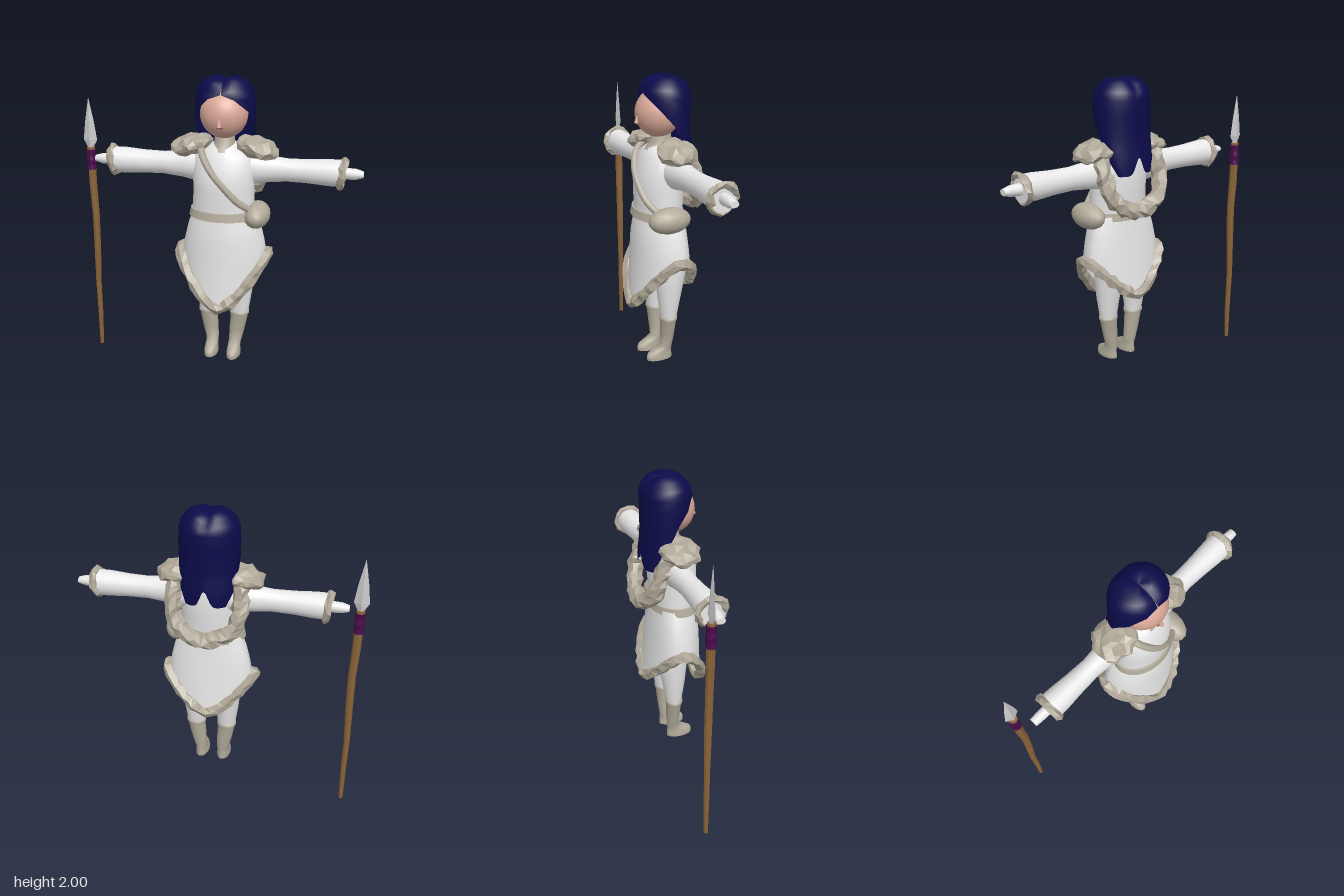
import * as THREE from 'three';

const mat = (name, color, extra = {}) => Object.assign(new THREE.MeshStandardMaterial({ color, ...extra }), { name });

// Elliptical rings listed from top to bottom: [y, halfWidth, zCentre, halfDepth, xCentre, frontOpening]
function loft(rows, seg, open = false, warp = null) {
  const pos = [], idx = [], n = open ? seg + 1 : seg;
  for (const [y, w, zc, d, cx = 0, a0 = 0] of rows) {
    for (let j = 0; j < n; j++) {
      const a = a0 + (j / seg) * 2 * (Math.PI - a0);
      const p = new THREE.Vector3(cx + w * Math.sin(a), y, zc + d * Math.cos(a));
      if (warp) warp(p, a);
      pos.push(p.x, p.y, p.z);
    }
  }
  for (let i = 0; i < rows.length - 1; i++) {
    for (let j = 0; j < seg; j++) {
      const k = (j + 1) % n, a = i * n + j, b = i * n + k;
      idx.push(a, a + n, b, b, a + n, b + n);
    }
  }
  const g = new THREE.BufferGeometry();
  g.setAttribute('position', new THREE.Float32BufferAttribute(pos, 3));
  g.setIndex(idx);
  g.computeVertexNormals();
  return g;
}

// Irregular fur surface: shift each vertex by a rule of its position
function ruffle(g, amount) {
  const p = g.attributes.position;
  for (let i = 0; i < p.count; i++) {
    const x = p.getX(i), y = p.getY(i), z = p.getZ(i);
    p.setXYZ(i,
      x + amount * Math.sin(61 * y + 47 * z + 1),
      y + amount * Math.sin(53 * x + 67 * z + 2),
      z + amount * Math.sin(59 * x + 43 * y + 3));
  }
  g.computeVertexNormals();
  return g;
}

function tube(points, segs, radius, sides, closed = false) {
  const curve = new THREE.CatmullRomCurve3(points.map(p => new THREE.Vector3(...p)), closed);
  return new THREE.TubeGeometry(curve, segs, radius, sides, closed);
}

const lerpTable = (table, y) => {
  for (let i = 0; i < table.length - 1; i++) {
    const [y0, a] = table[i], [y1, b] = table[i + 1];
    if (y >= y1) return a + (b - a) * THREE.MathUtils.clamp((y0 - y) / (y0 - y1), 0, 1);
  }
  return table[table.length - 1][1];
};

export function createModel() {
  const model = new THREE.Group();
  const body = new THREE.Group();
  body.name = 'figure';
  body.position.x = 0.055;
  model.add(body);

  const white = mat('white cloth', 0xe8e8e8, { side: THREE.DoubleSide });
  const fur = mat('fur', 0xb0a898, { flatShading: true });
  const hide = mat('hide', 0xb2ab9b);
  const skin = mat('skin', 0xdaa898);
  const navy = mat('navy hair', 0x0b0b4a, { side: THREE.DoubleSide });
  const lip = mat('lips', 0x8c5a52);
  const wood = mat('wood', 0x8a6339, { flatShading: true });
  const purple = mat('purple wrap', 0x4c0a4c, { flatShading: true });
  const steel = mat('steel', 0xcacaca, { flatShading: true });

  const add = (name, geometry, material, parent = body) => {
    const m = new THREE.Mesh(geometry, material);
    m.name = name;
    parent.add(m);
    return m;
  };

  // Torso and neck
  add('torso', loft([
    [1.6, 0.06, 0.01, 0.06], [1.565, 0.11, 0.015, 0.1], [1.52, 0.185, 0.02, 0.13], [1.4, 0.2, 0.035, 0.155],
    [1.3, 0.195, 0.04, 0.15], [1.2, 0.2, 0.04, 0.145], [1.1, 0.2, 0.045, 0.14],
  ], 28), white);
  add('neck', loft([[1.68, 0.06, 0.02, 0.06], [1.6, 0.065, 0.02, 0.068], [1.55, 0.085, 0.02, 0.11]], 18), hide);

  // Skirt with a pointed front and back and high sides
  const halfWidth = [[1.15, 0.2], [1.05, 0.238], [0.95, 0.262], [0.87, 0.275], [0.5, 0.285]];
  const frontZ = [[1.15, 0.185], [1, 0.205], [0.8, 0.212], [0.5, 0.228]];
  const backZ = [[1.15, 0.1], [1, 0.115], [0.85, 0.13], [0.6, 0.155]];
  const hemY = a => {
    const s = Math.pow(Math.abs(Math.sin(a)), 1.4);
    return Math.cos(a) > 0 ? 0.53 + 0.34 * s : 0.62 + 0.25 * s;
  };
  const skirtPoint = (a, y) => {
    const c = Math.cos(a);
    return [lerpTable(halfWidth, y) * Math.sin(a), y, c * lerpTable(c > 0 ? frontZ : backZ, y)];
  };
  const steps = Array.from({ length: 11 }, (_, i) => [i / 10, 0, 0, 0]);
  add('skirt', loft(steps, 40, false, (p, a) => p.set(...skirtPoint(a, 1.15 + (hemY(a) - 1.15) * p.y))), white);
  const hem = Array.from({ length: 32 }, (_, i) => {
    const a = (i / 32) * Math.PI * 2, [x, y, z] = skirtPoint(a, hemY(a));
    return [x * 1.06, y, z * 1.02];
  });
  add('skirtFurHem', ruffle(tube(hem, 44, 0.036, 5, true), 0.007), fur);

  // Belt, pouch and shoulder strap
  add('belt', loft([
    [1.172, 0.19, 0.045, 0.135], [1.17, 0.212, 0.045, 0.152], [1.17, 0.212, 0.045, 0.152],
    [1.12, 0.222, 0.047, 0.16], [1.12, 0.222, 0.047, 0.16], [1.118, 0.19, 0.045, 0.135],
  ], 32), hide);
  const pouch = add('pouch', new THREE.SphereGeometry(1, 14, 10), hide);
  pouch.scale.set(0.085, 0.083, 0.14);
  pouch.position.set(0.22, 1.145, 0.065);
  add('strap', tube([
    [-0.15, 1.58, 0.06], [-0.115, 1.52, 0.135], [-0.05, 1.43, 0.178], [0.03, 1.34, 0.186],
    [0.11, 1.25, 0.168], [0.2, 1.18, 0.12],
  ], 24, 0.023, 7), hide);

  // Fur garland hanging down the back
  add('backFur', ruffle(tube([
    [-0.2, 1.56, -0.04], [-0.215, 1.43, -0.1], [-0.185, 1.29, -0.145], [-0.09, 1.215, -0.175], [0, 1.195, -0.185],
    [0.09, 1.215, -0.175], [0.185, 1.29, -0.145], [0.215, 1.43, -0.1], [0.2, 1.56, -0.04],
  ], 26, 0.052, 7), 0.01), fur);

  for (const s of [-1, 1]) {
    const side = s > 0 ? 'left' : 'right';

    // Shoulder fur
    const pad = new THREE.IcosahedronGeometry(1, 2);
    pad.scale(0.135, 0.062, 0.125).rotateZ(-s * 0.25).translate(s * 0.21, 1.567, 0.015);
    add(side + 'ShoulderFur', ruffle(pad, 0.01), fur);

    // Sleeve, cuff and hand, built upright and laid sideways
    const arm = new THREE.Group();
    arm.name = side + 'Arm';
    arm.position.y = 1.43;
    arm.rotation.z = -s * Math.PI / 2;
    body.add(arm);
    add(side + 'Sleeve', loft([
      [0.75, 0.001, 0, 0.001], [0.75, 0.083, 0, 0.083], [0.75, 0.083, 0, 0.083], [0.66, 0.084, 0, 0.08],
      [0.53, 0.075, 0, 0.07], [0.4, 0.073, 0, 0.064], [0.28, 0.085, 0, 0.075], [0.2, 0.1, 0, 0.088], [0.1, 0.1, 0, 0.09],
    ], 20), white, arm);
    add(side + 'Hand', loft([
      [0.865, 0.001, 0, 0.001], [0.865, 0.02, 0, 0.028], [0.865, 0.02, 0, 0.028],
      [0.82, 0.034, 0, 0.032], [0.74, 0.038, 0, 0.034],
    ], 10), white, arm);
    const cuff = new THREE.TorusGeometry(0.083, 0.024, 5, 12);
    cuff.rotateX(Math.PI / 2).rotateZ(-s * 0.15).translate(0, 0.735, 0);
    add(side + 'FurCuff', ruffle(cuff, 0.007), fur, arm);

    // Leg and boot
    add(side + 'Leg', loft([
      [1.05, 0.1, 0, 0.1, s * 0.09], [0.85, 0.11, 0, 0.112, s * 0.1], [0.72, 0.1, 0.005, 0.098, s * 0.103],
      [0.58, 0.08, 0.012, 0.075, s * 0.108], [0.42, 0.058, 0.015, 0.05, s * 0.106],
    ], 18), white);
    add(side + 'Boot', loft([
      [0.435, 0.05, 0.015, 0.045, s * 0.106], [0.44, 0.066, 0.016, 0.058, s * 0.106], [0.42, 0.066, 0.016, 0.058, s * 0.106],
      [0.41, 0.059, 0.016, 0.052, s * 0.105], [0.3, 0.052, 0.016, 0.045, s * 0.09], [0.22, 0.043, 0.018, 0.038, s * 0.079],
      [0.195, 0.041, 0.04, 0.06, s * 0.077], [0.17, 0.043, 0.064, 0.084, s * 0.077], [0.145, 0.046, 0.067, 0.09, s * 0.077],
      [0.145, 0.046, 0.067, 0.09, s * 0.077], [0.125, 0.046, 0.067, 0.09, s * 0.077], [0.125, 0.046, 0.067, 0.09, s * 0.077],
      [0.125, 0.001, 0.067, 0.001, s * 0.077],
    ], 16), hide);
  }

  // Head
  const head = add('head', new THREE.SphereGeometry(1, 28, 20), skin);
  head.scale.set(0.149, 0.15, 0.142);
  head.position.set(0, 1.775, 0.04);
  const nose = add('nose', new THREE.ConeGeometry(0.015, 0.07, 8), skin);
  nose.position.set(0, 1.755, 0.18);
  nose.rotation.x = -0.15;
  const mouth = add('mouth', new THREE.BoxGeometry(0.04, 0.011, 0.008), lip);
  mouth.position.set(0, 1.712, 0.171);

  // Parted hair, open around the face and split into two tails behind
  add('hair', loft([
    [2, 0.001, 0, 0.001], [2, 0.08, 0, 0.07], [1.975, 0.135, 0, 0.115], [1.93, 0.172, 0, 0.15, 0, 0.02],
    [1.88, 0.187, 0, 0.162, 0, 0.45], [1.8, 0.192, 0, 0.158, 0, 1], [1.72, 0.19, -0.005, 0.152, 0, 1.42],
    [1.65, 0.187, -0.015, 0.142, 0, 1.58], [1.58, 0.18, -0.04, 0.12, 0, 1.68], [1.5, 0.165, -0.08, 0.09, 0, 1.72],
    [1.42, 0.13, -0.115, 0.055, 0, 1.75],
  ], 40, true, (p) => {
    const part = Math.exp(-((p.x / 0.035) ** 2));
    if (p.y > 1.9) p.y -= 0.022 * part;
    else if (p.y < 1.6) p.y += 0.6 * (1.6 - p.y) * part;
  }), navy);

  // Spear
  const spear = new THREE.Group();
  spear.name = 'spear';
  spear.position.set(-0.88, 0, -0.09);
  model.add(spear);
  add('spearShaft', loft([
    [1.475, 0.001, 0, 0.001], [1.475, 0.027, 0, 0.027], [1.2, 0.027, 0, 0.027, 0.003], [1, 0.025, 0.003, 0.025, 0.012],
    [0.75, 0.024, 0, 0.024, 0.008], [0.5, 0.02, -0.003, 0.02, 0], [0.25, 0.018, 0, 0.018, 0.003],
    [0, 0.014, 0, 0.014], [0, 0.001, 0, 0.001],
  ], 8), wood, spear);
  add('spearWrap', loft([
    [1.46, 0.02, 0, 0.02], [1.46, 0.032, 0, 0.032], [1.42, 0.029, 0, 0.029], [1.39, 0.033, 0, 0.033],
    [1.355, 0.03, 0, 0.03], [1.325, 0.033, 0, 0.033], [1.325, 0.02, 0, 0.02],
  ], 9), purple, spear);
  add('spearBlade', loft([
    [1.805, 0.001, 0, 0.001], [1.65, 0.03, 0, 0.012], [1.525, 0.047, 0, 0.016], [1.47, 0.018, 0, 0.014], [1.47, 0.001, 0, 0.001],
  ], 4), steel, spear);

  return model;
}
